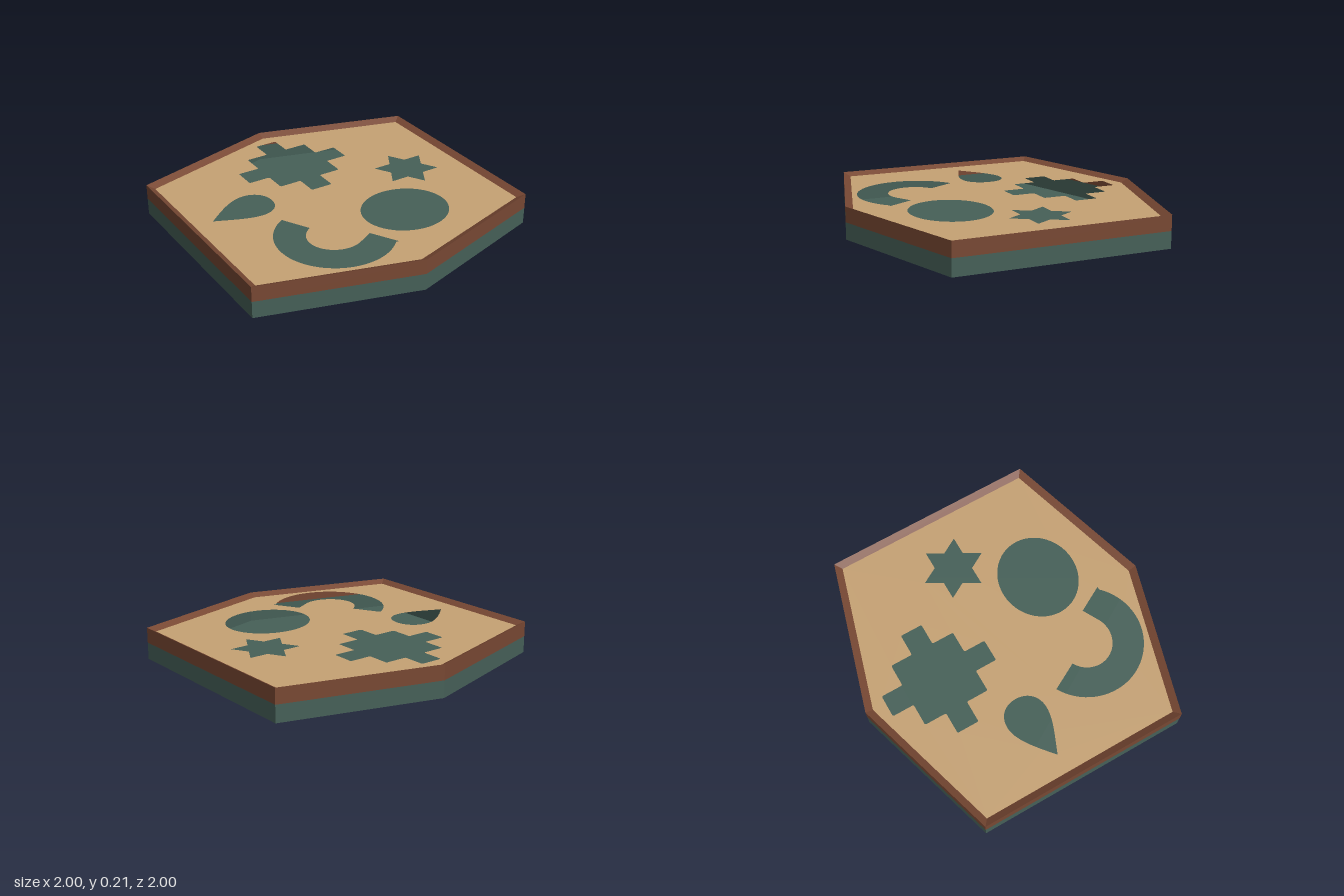
import * as THREE from 'three';

const HEIGHT = 0.21, SEAM = 0.11, PANEL_Y = 0.185;

// Hexagon corners as [x, z], counterclockwise seen from above
const hexagon = (x, zSide, zTip) => [
  [0, zTip], [x, zSide], [x, -zSide], [0, -zTip], [-x, -zSide], [-x, zSide],
];
const outer = hexagon(1, 0.707, 1);
const inner = hexagon(0.955, 0.672, 0.95);

// Flat-sided band between two rings of corners
function band(ringA, yA, ringB, yB) {
  const pos = [];
  ringA.forEach((_, i) => {
    const j = (i + 1) % ringA.length;
    const a = [ringA[i][0], yA, ringA[i][1]], b = [ringA[j][0], yA, ringA[j][1]];
    const c = [ringB[j][0], yB, ringB[j][1]], d = [ringB[i][0], yB, ringB[i][1]];
    pos.push(...a, ...b, ...c, ...a, ...c, ...d);
  });
  const g = new THREE.BufferGeometry();
  g.setAttribute('position', new THREE.Float32BufferAttribute(pos, 3));
  g.computeVertexNormals();
  return g;
}

// Shapes are drawn with y = -z, then laid flat facing up
const toVectors = (pts) => pts.map(([x, z]) => new THREE.Vector2(x, -z));
const flat = (shape, y) => new THREE.ShapeGeometry(shape, 24).rotateX(-Math.PI / 2).translate(0, y, 0);

// Points on an arc around [cx, cz]; angles in degrees
function arc(cx, cz, rx, rz, from, to, n) {
  return Array.from({ length: n + 1 }, (_, i) => {
    const t = THREE.MathUtils.degToRad(from + (to - from) * i / n);
    return [cx + rx * Math.cos(t), cz + rz * Math.sin(t)];
  });
}

// Stepped cross with slightly rounded corners
function crossHole() {
  const cx = -0.025, cz = -0.488, a = 0.075, b = 0.225, c = 0.373, r = 0.012;
  const quarter = [[c, -a], [c, a], [b, a], [b, b], [a, b]];
  const pts = [];
  for (let k = 0; k < 4; k++) {
    for (let [x, z] of quarter) {
      for (let i = 0; i < k; i++) [x, z] = [-z, x];
      pts.push(new THREE.Vector2(cx + x, -(cz + z)));
    }
  }
  const path = new THREE.Path();
  pts.forEach((p, i) => {
    const toward = (q) => q.clone().sub(p).setLength(r).add(p);
    const s = toward(pts[(i + pts.length - 1) % pts.length]);
    const e = toward(pts[(i + 1) % pts.length]);
    if (i === 0) path.moveTo(s.x, s.y); else path.lineTo(s.x, s.y);
    path.quadraticCurveTo(p.x, p.y, e.x, e.y);
  });
  path.closePath();
  return path;
}

// Six-pointed star
function starHole() {
  const pts = [];
  for (let i = 0; i < 12; i++) {
    const r = i % 2 ? 0.123 : 0.213, t = i * Math.PI / 6;
    pts.push([0.595 + r * Math.sin(t), -0.038 + r * Math.cos(t)]);
  }
  return new THREE.Path(toVectors(pts));
}

// Teardrop with its tip to the right-hand side
function dropHole() {
  const p = new THREE.Path();
  p.moveTo(-0.83, 0.095);
  p.bezierCurveTo(-0.73, 0.18, -0.62, 0.278, -0.525, 0.278);
  p.bezierCurveTo(-0.44, 0.278, -0.388, 0.22, -0.388, 0.14);
  p.bezierCurveTo(-0.388, 0.05, -0.45, -0.003, -0.53, -0.003);
  p.bezierCurveTo(-0.62, -0.003, -0.72, 0.05, -0.83, 0.095);
  return p;
}

// Open arch
function archHole() {
  return new THREE.Path(toVectors([
    ...arc(-0.28, 0.445, 0.375, 0.375, 241, 45, 40), [0.005, 0.712],
    ...arc(-0.28, 0.445, 0.178, 0.172, 55, 241, 30).map((p, i) => (i ? p : [-0.09, 0.54])),
  ]));
}

const ovalHole = () => new THREE.Path(toVectors(arc(0.263, 0.412, 0.288, 0.26, 0, 352.5, 47)));

export function createModel() {
  const material = (name, color) =>
    Object.assign(new THREE.MeshStandardMaterial({ color, side: THREE.DoubleSide }), { name });
  const green = material('dark green', 0x466058);
  const brown = material('reddish brown', 0x784833);
  const tan = material('light wood', 0xc6a274);

  const model = new THREE.Group();
  model.name = 'shapeBoard';
  const add = (name, geometry, mat) => {
    const mesh = new THREE.Mesh(geometry, mat);
    mesh.name = name;
    model.add(mesh);
  };

  // Hollow tray
  add('trayFloor', flat(new THREE.Shape(toVectors(outer)), 0), green);
  add('trayWall', band(outer, 0, outer, SEAM), green);

  // Frame with a rim sloping in to the panel
  add('frameWall', band(outer, SEAM, outer, HEIGHT), brown);
  add('frameRim', band(outer, HEIGHT, inner, PANEL_Y), brown);

  // Panel with cut-out shapes
  const panel = new THREE.Shape(toVectors(inner));
  panel.holes.push(crossHole(), starHole(), dropHole(), archHole(), ovalHole());
  add('cutoutPanel', flat(panel, PANEL_Y), tan);

  return model;
}
